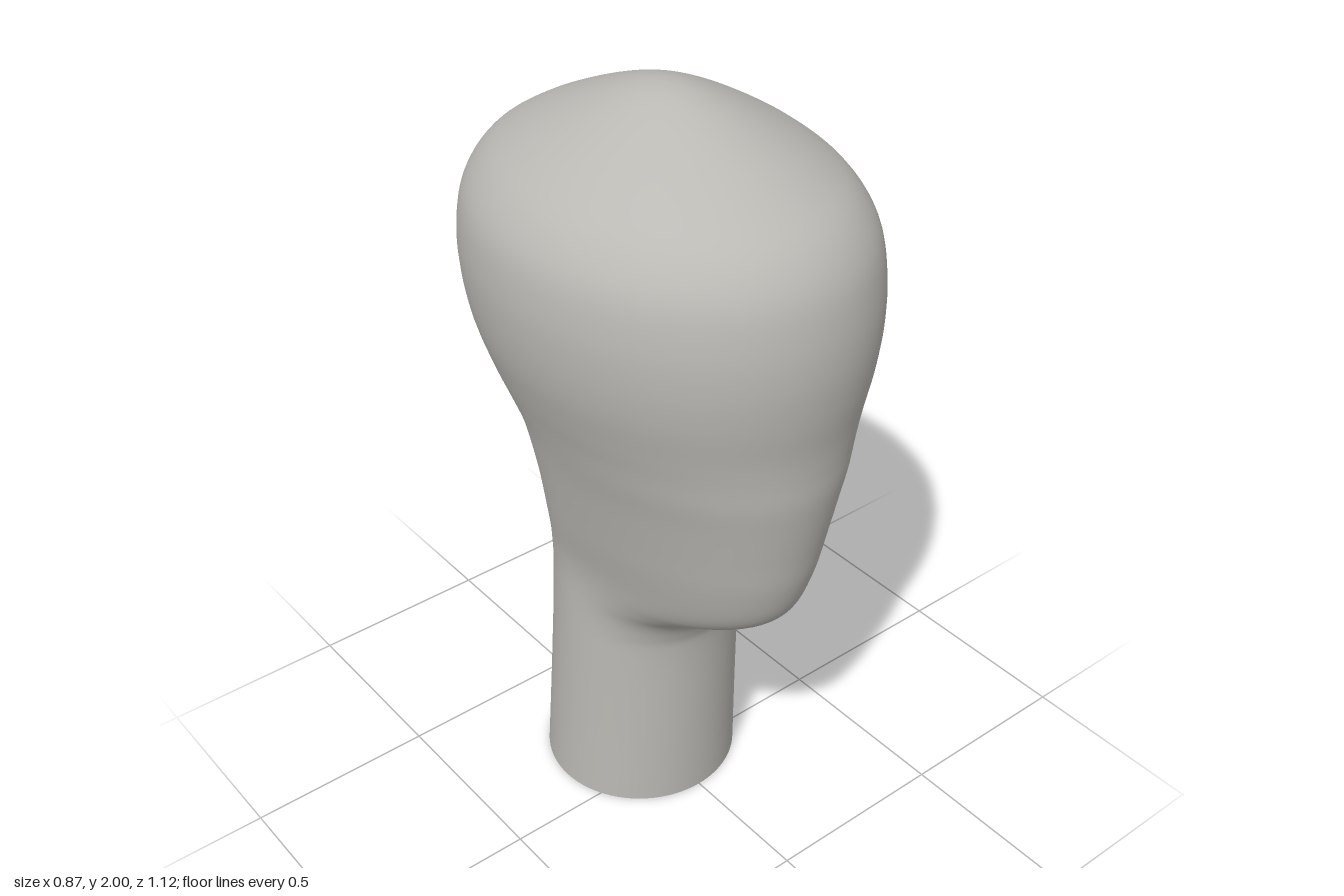
import * as THREE from 'three';

// Cross-sections from neck base to crown: y, half width, front z, back z, z of widest point
const SECTIONS = [
  [0, 0.26, 0.14, -0.376, -0.118],
  [0.25, 0.252, 0.146, -0.356, -0.105],
  [0.5, 0.246, 0.153, -0.336, -0.092],
  [0.58, 0.244, 0.168, -0.331, -0.09],
  [0.64, 0.243, 0.21, -0.327, -0.09],
  [0.69, 0.243, 0.295, -0.323, -0.09],
  [0.74, 0.246, 0.385, -0.32, -0.09],
  [0.8, 0.255, 0.44, -0.317, -0.08],
  [0.9, 0.278, 0.477, -0.314, -0.06],
  [1.0, 0.3, 0.497, -0.32, -0.04],
  [1.1, 0.323, 0.515, -0.345, -0.02],
  [1.18, 0.344, 0.527, -0.38, 0],
  [1.25, 0.365, 0.531, -0.437, 0],
  [1.32, 0.388, 0.537, -0.49, 0],
  [1.42, 0.417, 0.552, -0.536, 0],
  [1.52, 0.433, 0.56, -0.557, 0],
  [1.62, 0.436, 0.554, -0.56, 0],
  [1.72, 0.42, 0.53, -0.537, 0],
  [1.8, 0.372, 0.475, -0.482, 0],
  [1.86, 0.304, 0.388, -0.393, 0],
  [1.91, 0.227, 0.291, -0.293, 0],
  [1.95, 0.155, 0.2, -0.2, 0],
  [1.98, 0.09, 0.116, -0.116, 0],
  [1.995, 0.042, 0.054, -0.054, 0],
  [2.0, 0, 0, 0, 0],
];
const SIDES = 96;
const STEPS = 5;

// Smooth loft: every ring is an egg made from a front and a back half ellipse
function loft() {
  const curve = new THREE.CubicInterpolant(SECTIONS.map((_, i) => i), SECTIONS.flat(), 5);
  const rings = (SECTIONS.length - 1) * STEPS;
  const positions = [], index = [];
  for (let r = 0; r <= rings; r++) {
    const [y, width, front, back, mid] = curve.evaluate(r / STEPS);
    for (let s = 0; s < SIDES; s++) {
      const a = (s / SIDES) * Math.PI * 2, c = Math.cos(a);
      positions.push(width * Math.sin(a), y, mid + c * (c > 0 ? front - mid : mid - back));
      if (r === rings) continue;
      const p = r * SIDES + s, q = r * SIDES + (s + 1) % SIDES;
      index.push(p, q, q + SIDES);
      if (r < rings - 1) index.push(p, q + SIDES, p + SIDES);
    }
  }
  const geometry = new THREE.BufferGeometry();
  geometry.setAttribute('position', new THREE.Float32BufferAttribute(positions, 3));
  geometry.setIndex(index);
  geometry.computeVertexNormals();
  return geometry;
}

export function createModel() {
  const model = new THREE.Group();
  model.name = 'headForm';
  const clay = new THREE.MeshStandardMaterial({ color: 0xbbb9b4 });
  clay.name = 'warm grey clay';

  const head = new THREE.Mesh(loft(), clay);
  head.name = 'headAndNeck';
  model.add(head);

  // Flat underside of the neck
  const [, width, front, back, mid] = SECTIONS[0];
  const cap = new THREE.CircleGeometry(1, SIDES).rotateX(Math.PI / 2);
  cap.scale(width, 1, (front - back) / 2).translate(0, 0, mid);
  const base = new THREE.Mesh(cap, clay);
  base.name = 'neckBase';
  model.add(base);

  return model;
}
